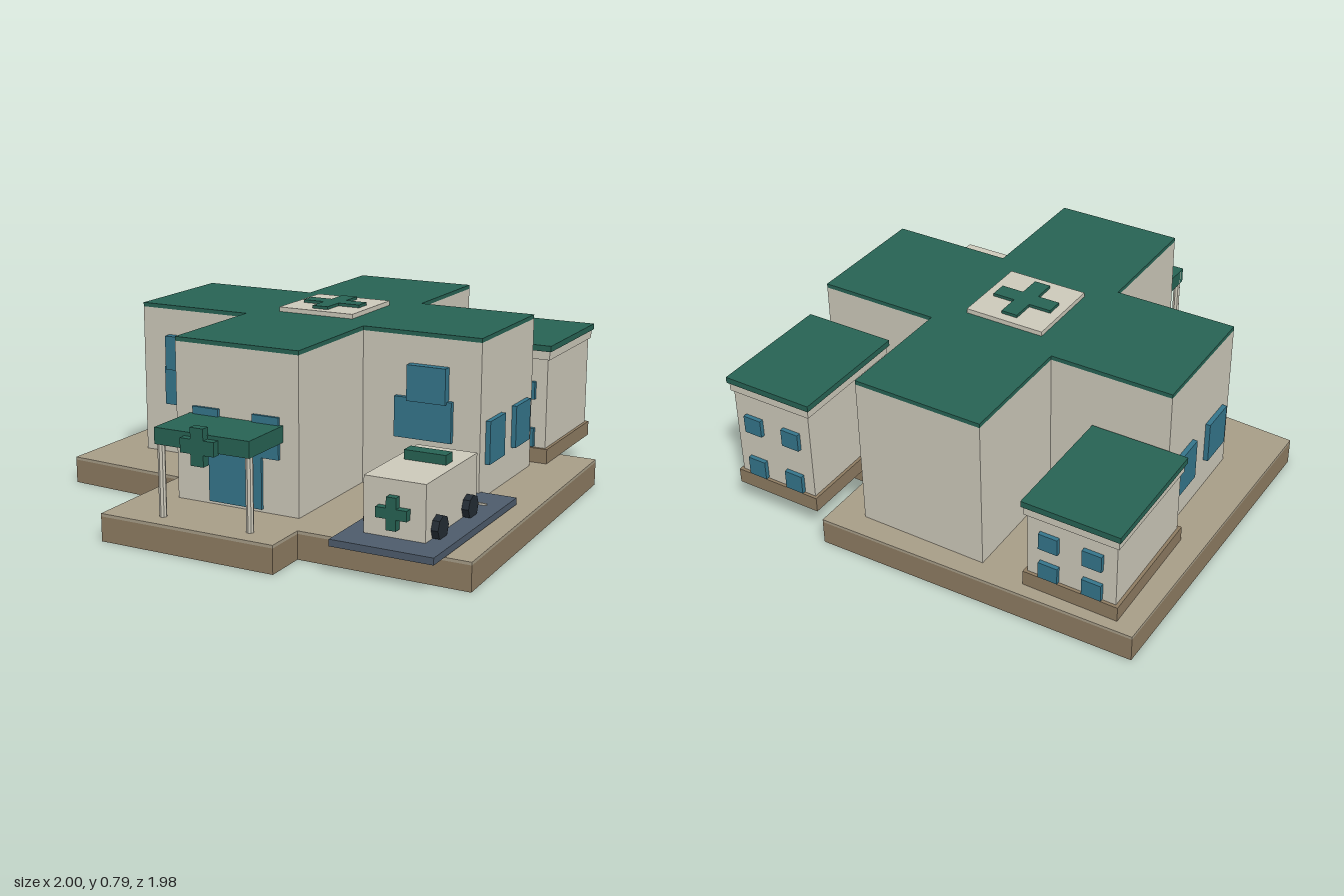
import * as THREE from 'three';

const mat = (color) => new THREE.MeshStandardMaterial({ color, flatShading: true });
const M = {
  wall: mat(0xcecabb), roof: mat(0x276354), glass: mat(0x35768c), ground: mat(0xa89e88),
  stone: mat(0x8e7c62), pad: mat(0x4e5c6c), tyre: mat(0x242c34),
};

function add(parent, name, geometry, material) {
  const mesh = new THREE.Mesh(geometry, material);
  mesh.name = name;
  parent.add(mesh);
  return mesh;
}

// box given by its limits on each axis
function box(parent, name, material, [x0, x1], [y0, y1], [z0, z1]) {
  const mesh = add(parent, name, new THREE.BoxGeometry(x1 - x0, y1 - y0, z1 - z0), material);
  mesh.position.set((x0 + x1) / 2, (y0 + y1) / 2, (z0 + z1) / 2);
  return mesh;
}

// slab with an outline of (x, z) points, between two heights
function slab(parent, name, material, points, y0, y1, hole) {
  const toPath = (p) => p.map(([x, z]) => new THREE.Vector2(x, -z));
  const shape = new THREE.Shape(toPath(points));
  if (hole) shape.holes.push(new THREE.Path(toPath(hole)));
  const geometry = new THREE.ExtrudeGeometry(shape, { depth: y1 - y0, bevelEnabled: false });
  geometry.rotateX(-Math.PI / 2);
  const mesh = add(parent, name, geometry, material);
  mesh.position.y = y0;
  return mesh;
}

// plus-shaped sign: half span s, half bar width b, extruded along +z
function plus(parent, name, s, b, depth) {
  const pts = [[-b, -s], [b, -s], [b, -b], [s, -b], [s, b], [b, b],
    [b, s], [-b, s], [-b, b], [-s, b], [-s, -b], [-b, -b]];
  const shape = new THREE.Shape(pts.map(([x, y]) => new THREE.Vector2(x, y)));
  return add(parent, name, new THREE.ExtrudeGeometry(shape, { depth, bevelEnabled: false }), M.roof);
}

const rect = (x0, x1, z0, z1) => [[x0, z0], [x0, z1], [x1, z1], [x1, z0]];

// annex with hollow plinth, cornice, roof and windows front and back
function annex(parent, name, x0, x1, z0, z1, top, windowRows) {
  const g = new THREE.Group();
  g.name = name;
  parent.add(g);
  const inset = (d) => [x0 + d, x1 - d, z0 + d, z1 - d];
  const block = (part, material, d, y0, y1) => {
    const [a, b, c, e] = inset(d);
    box(g, part, material, [a, b], [y0, y1], [c, e]);
  };
  slab(g, 'plinth', M.stone, rect(...inset(0.005)), 0.112, 0.175, rect(...inset(0.028)));
  block('walls', M.wall, 0.018, 0.172, top - 0.06);
  block('cornice', M.wall, 0.008, top - 0.062, top - 0.025);
  block('roof', M.roof, 0, top - 0.025, top);
  const mid = (x0 + x1) / 2;
  for (const wx of [mid - 0.09, mid + 0.09]) {
    for (const [y0, y1] of windowRows) {
      for (const z of [z0 + 0.013, z1 - 0.013]) {
        box(g, 'window', M.glass, [wx - 0.04, wx + 0.04], [y0, y1], [z - 0.013, z + 0.013]);
      }
    }
  }
}

export function createModel() {
  const model = new THREE.Group();
  model.name = 'hospital';

  // ground platform
  const plot = [[-0.97, -0.96], [-1, 0.42], [-0.45, 0.455], [-0.45, 0.985], [0.305, 0.985],
    [0.305, 0.805], [1, 0.805], [0.965, -0.6], [0.375, -0.6], [0.375, -0.99]];
  slab(model, 'platform', M.stone, plot, 0, 0.1);
  slab(model, 'paving', M.ground, plot, 0.1, 0.112);

  // cross-shaped main building
  const plan = [[-0.81, -0.38], [-0.81, 0.16], [-0.3, 0.16], [-0.3, 0.68], [0.242, 0.68],
    [0.242, 0.16], [0.75, 0.16], [0.75, -0.38], [0.242, -0.38], [0.242, -0.89],
    [-0.3, -0.89], [-0.3, -0.38]];
  slab(model, 'mainWalls', M.wall, plan, 0.112, 0.74);
  slab(model, 'mainRoof', M.roof, plan, 0.74, 0.757);

  // rooftop sign
  box(model, 'roofPanel', M.wall, [-0.2, 0.14], [0.757, 0.776], [-0.28, 0.06]);
  const roofPlus = plus(model, 'roofPlus', 0.13, 0.035, 0.012);
  roofPlus.rotation.x = -Math.PI / 2;
  roofPlus.position.set(-0.03, 0.776, -0.11);

  // windows, mirrored about the building's own axis
  const axis = -0.03;
  const mirrored = (name, a, b, ys, zs) => {
    for (const s of [-1, 1]) {
      const xs = [axis + s * a, axis + s * b].sort((p, q) => p - q);
      box(model, name, M.glass, xs, ys, zs);
    }
  };
  mirrored('sideWindow', 0.77, 0.8, [0.245, 0.42], [-0.05, 0.105]);
  mirrored('sideWindow', 0.77, 0.8, [0.245, 0.42], [-0.32, -0.165]);
  mirrored('entranceWindow', 0.075, 0.19, [0.33, 0.495], [0.67, 0.692]);
  for (const [x, off] of [[-0.572, -0.026], [0.512, 0.02]]) {
    box(model, 'wideWindow', M.glass, [x - 0.123, x + 0.123], [0.33, 0.495], [0.15, 0.18]);
    box(model, 'upperWindow', M.glass, [x + off - 0.083, x + off + 0.083], [0.485, 0.63], [0.15, 0.195]);
  }

  // entrance with canopy
  box(model, 'door', M.glass, [-0.15, 0.085], [0.125, 0.355], [0.67, 0.692]);
  box(model, 'canopy', M.roof, [-0.237, 0.175], [0.4, 0.465], [0.68, 0.925]);
  for (const x of [-0.223, 0.16]) {
    const post = add(model, 'canopyPost', new THREE.CylinderGeometry(0.015, 0.015, 0.35, 8), M.wall);
    post.position.set(x, 0.285, 0.9);
  }
  plus(model, 'canopyPlus', 0.073, 0.028, 0.035).position.set(axis, 0.422, 0.92);

  // annexes at the back
  annex(model, 'rightAnnex', -0.89, -0.485, -0.92, -0.385, 0.505, [[0.18, 0.25], [0.315, 0.385]]);
  annex(model, 'leftAnnex', 0.418, 0.81, -0.965, -0.43, 0.62, [[0.18, 0.26], [0.385, 0.46]]);

  // parking pad with stop line
  box(model, 'parkingPad', M.pad, [0.49, 0.9], [0.115, 0.142], [0.14, 0.905]);
  box(model, 'stopLine', M.wall, [0.545, 0.835], [0.14, 0.149], [0.28, 0.289]);

  // ambulance
  const van = new THREE.Group();
  van.name = 'ambulance';
  model.add(van);
  box(van, 'vanBody', M.wall, [0.567, 0.813], [0.143, 0.36], [0.335, 0.785]);
  box(van, 'lightBar', M.roof, [0.607, 0.777], [0.36, 0.397], [0.482, 0.54]);
  plus(van, 'vanPlus', 0.062, 0.02, 0.035).position.set(0.69, 0.24, 0.78);
  for (const x of [0.558, 0.825]) {
    for (const z of [0.425, 0.695]) {
      const wheel = add(van, 'wheel', new THREE.CylinderGeometry(0.047, 0.047, 0.032, 8), M.tyre);
      wheel.rotation.z = Math.PI / 2;
      wheel.position.set(x, 0.178, z);
    }
  }
  return model;
}
